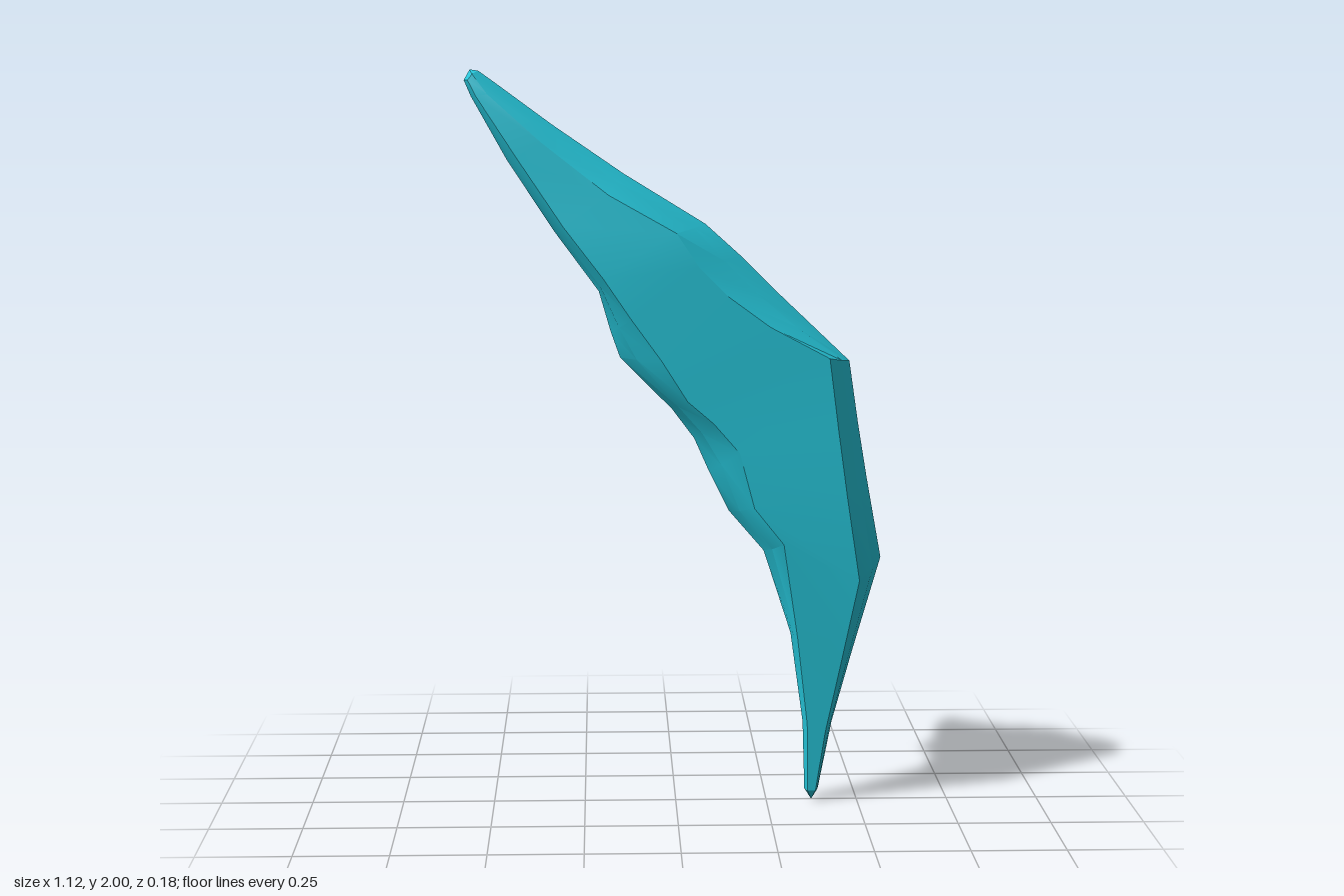
import * as THREE from 'three';
import { toCreasedNormals } from 'three/addons/utils/BufferGeometryUtils.js';

// Stations from upper tip to lower tip:
// outer edge x,y | outer bevel x,y | inner bevel x,y | inner edge x,y | half thickness
const STATIONS = [
  [-0.525, 1.997, -0.54, 1.988, -0.552, 1.972, -0.563, 1.972, 0.022],
  [-0.48, 1.965, -0.50, 1.935, -0.53, 1.93, -0.545, 1.93, 0.035],
  [-0.33, 1.855, -0.36, 1.81, -0.425, 1.77, -0.45, 1.76, 0.05],
  [-0.14, 1.725, -0.18, 1.67, -0.30, 1.585, -0.325, 1.57, 0.067],
  [0.08, 1.59, 0, 1.57, -0.195, 1.45, -0.207, 1.41, 0.089],
  [0.18, 1.5, 0.06, 1.48, -0.12, 1.34, -0.175, 1.3, 0.089],
  [0.27, 1.41, 0.14, 1.4, -0.04, 1.23, -0.15, 1.23, 0.089],
  [0.37, 1.315, 0.25, 1.32, 0.03, 1.12, -0.01, 1.09, 0.089],
  [0.47, 1.22, 0.41, 1.235, 0.1, 1.06, 0.05, 1.01, 0.087],
  [0.495, 1.05, 0.435, 1.04, 0.17, 0.98, 0.09, 0.92, 0.089],
  [0.52, 0.9, 0.46, 0.86, 0.21, 0.83, 0.145, 0.81, 0.089],
  [0.56, 0.68, 0.495, 0.63, 0.29, 0.73, 0.24, 0.7, 0.086],
  [0.485, 0.42, 0.45, 0.4, 0.33, 0.47, 0.315, 0.47, 0.06],
  [0.43, 0.22, 0.41, 0.2, 0.36, 0.22, 0.35, 0.22, 0.038],
  [0.393, 0.03, 0.385, 0.03, 0.363, 0.03, 0.356, 0.03, 0.024],
];

// Closed cross-section: rounded outer bevel, flat face, rounded inner bevel, mirrored in z
function ring([ox, oy, obx, oby, ibx, iby, ix, iy, h]) {
  const mid = (a, b) => a + (b - a) * 0.6;
  const front = [
    [mid(obx, ox), mid(oby, oy), h * 0.6],
    [obx, oby, h],
    [ibx, iby, h],
    [mid(ibx, ix), mid(iby, iy), h * 0.6],
  ];
  const back = front.map(([x, y, z]) => [x, y, -z]).reverse();
  return [[ox, oy, 0], ...front, [ix, iy, 0], ...back];
}

function loft(stations, topTip, bottomTip) {
  const rings = stations.map(ring);
  const n = rings[0].length;
  const points = [...rings.flat(), topTip, bottomTip];
  const top = points.length - 2, bottom = points.length - 1;
  const last = (rings.length - 1) * n;
  const index = [];
  for (let j = 0; j < n; j++) {
    const k = (j + 1) % n;
    index.push(top, k, j, bottom, last + j, last + k);
    for (let r = 0; r < last; r += n) {
      index.push(r + j, r + k, r + n + j, r + k, r + n + k, r + n + j);
    }
  }
  const geometry = new THREE.BufferGeometry();
  geometry.setAttribute('position', new THREE.Float32BufferAttribute(points.flat(), 3));
  geometry.setIndex(index);
  return toCreasedNormals(geometry, 0.45);
}

export function createModel() {
  const group = new THREE.Group();
  group.name = 'crescentShard';
  const cyan = new THREE.MeshStandardMaterial({ color: 0x26c6da });
  cyan.name = 'cyan';

  // Bevelled crescent blade
  const blade = new THREE.Mesh(loft(STATIONS, [-0.547, 2, 0], [0.375, 0, 0]), cyan);
  blade.name = 'blade';
  group.add(blade);
  return group;
}
